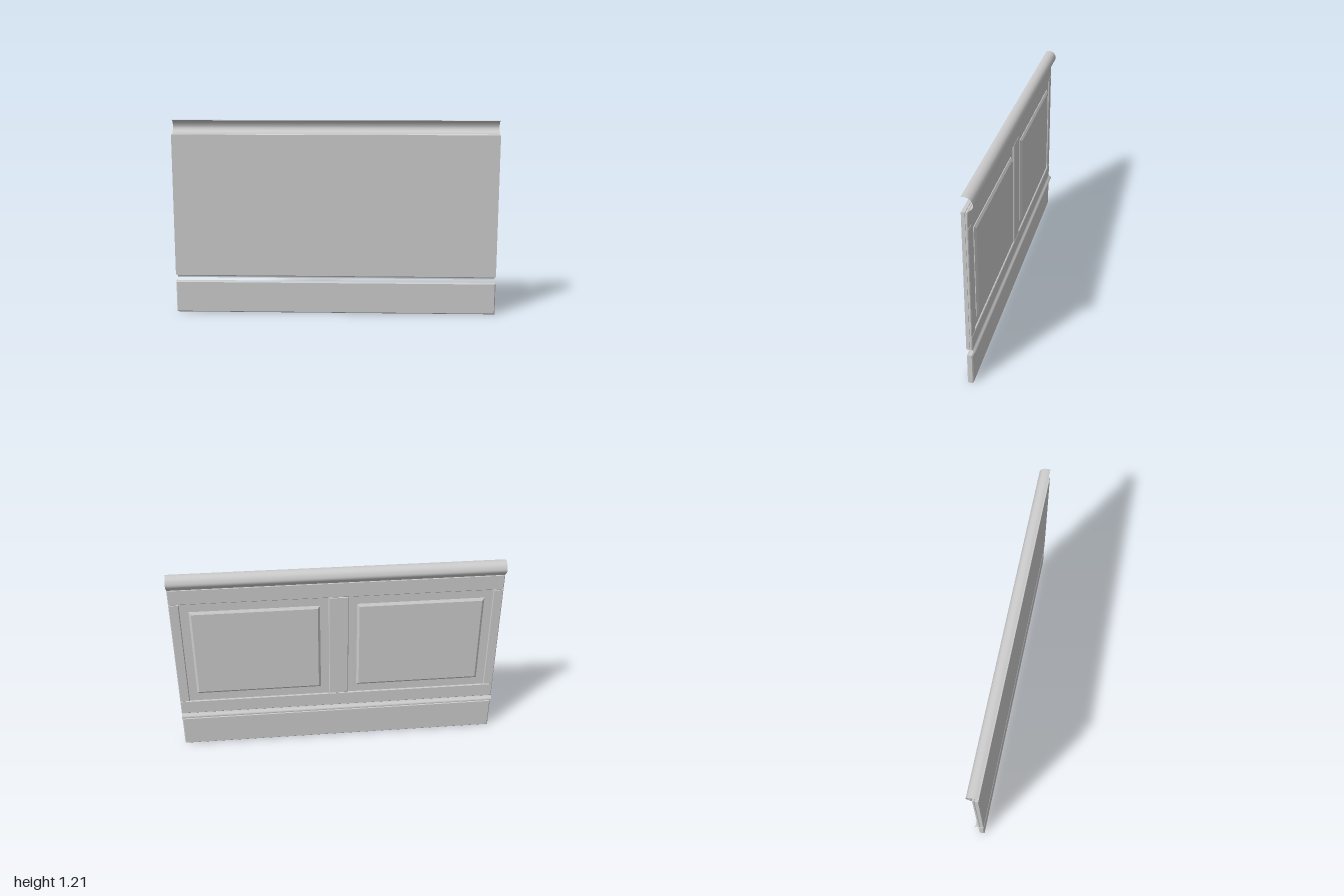
import * as THREE from 'three';

const grey = new THREE.MeshStandardMaterial({ color: 0xcccccc });
const greySheet = new THREE.MeshStandardMaterial({ color: 0xcccccc, side: THREE.DoubleSide });

// Rectangular board with chamfered edges, given by its outer limits
function board(name, x0, x1, y0, y1, z0, z1, chamfer, depth = chamfer) {
  const c = chamfer;
  const shape = new THREE.Shape([
    new THREE.Vector2(x0 + c, y0 + c), new THREE.Vector2(x1 - c, y0 + c),
    new THREE.Vector2(x1 - c, y1 - c), new THREE.Vector2(x0 + c, y1 - c),
  ]);
  const geo = new THREE.ExtrudeGeometry(shape, {
    depth: z1 - z0 - 2 * depth, bevelEnabled: true, bevelSize: c, bevelThickness: depth, bevelSegments: 1,
  });
  geo.translate(0, 0, z0 + depth);
  const mesh = new THREE.Mesh(geo, grey);
  mesh.name = name;
  return mesh;
}

// Thin moulding: a curve through [z, y] points swept along the full width
function moulding(name, points, steps) {
  const curve = new THREE.SplineCurve(points.map(([z, y]) => new THREE.Vector2(z, y)));
  const geo = new THREE.PlaneGeometry(2, 1, 1, steps);
  const pos = geo.attributes.position;
  for (let i = 0; i < pos.count; i++) {
    const p = curve.getPoint(Math.floor(i / 2) / steps);
    pos.setXYZ(i, pos.getX(i), p.y, p.x);
  }
  geo.computeVertexNormals();
  const mesh = new THREE.Mesh(geo, greySheet);
  mesh.name = name;
  return mesh;
}

export function createModel() {
  const model = new THREE.Group();
  model.name = 'wallPanelling';

  // Flat backing sheet
  const backing = new THREE.Mesh(new THREE.BoxGeometry(2, 0.88, 0.02), grey);
  backing.name = 'backingBoard';
  backing.position.set(0, 0.68, 0.021);
  model.add(backing);

  // Skirting and frame rails
  model.add(board('skirtingBoard', -1, 1, 0, 0.2, -0.004, 0.031, 0.006));
  model.add(board('topRail', -1, 1, 1.022, 1.12, -0.004, 0.011, 0.004));
  model.add(board('bottomRail', -1, 1, 0.24, 0.332, -0.004, 0.011, 0.004));

  // Upright stiles
  model.add(board('centreStile', -0.06, 0.06, 0.332, 1.022, -0.004, 0.011, 0.004));
  for (const [side, s] of [['left', 1], ['right', -1]]) {
    const [a, b] = [s * 0.94, s].sort((p, q) => p - q);
    model.add(board(side + 'Stile', a, b, 0.332, 1.022, -0.004, 0.011, 0.004));

    // Recessed panel with a raised, bevelled field
    const panel = new THREE.Group();
    panel.name = side + 'Panel';
    const base = new THREE.Mesh(new THREE.BoxGeometry(0.88, 0.69, 0.006), grey);
    base.name = 'panelBase';
    base.position.set(s * 0.5, 0.677, 0.008);
    const field = board('raisedField', s * 0.5 - 0.388, s * 0.5 + 0.388, 0.388, 0.968, -0.009, 0.019, 0.014, 0.01);
    panel.add(base, field);
    model.add(panel);
  }

  // Rounded cap moulding, open towards the front
  model.add(moulding('capMoulding', [
    [0.03, 1.207], [0.012, 1.209], [-0.008, 1.204], [-0.024, 1.191], [-0.033, 1.17],
    [-0.032, 1.155], [-0.024, 1.142], [-0.012, 1.133], [-0.004, 1.121],
  ], 24));

  // Small sloping moulding above the skirting
  model.add(moulding('skirtingMoulding', [
    [-0.003, 0.242], [-0.008, 0.235], [-0.016, 0.228], [-0.02, 0.22], [-0.019, 0.213],
  ], 8));

  return model;
}
